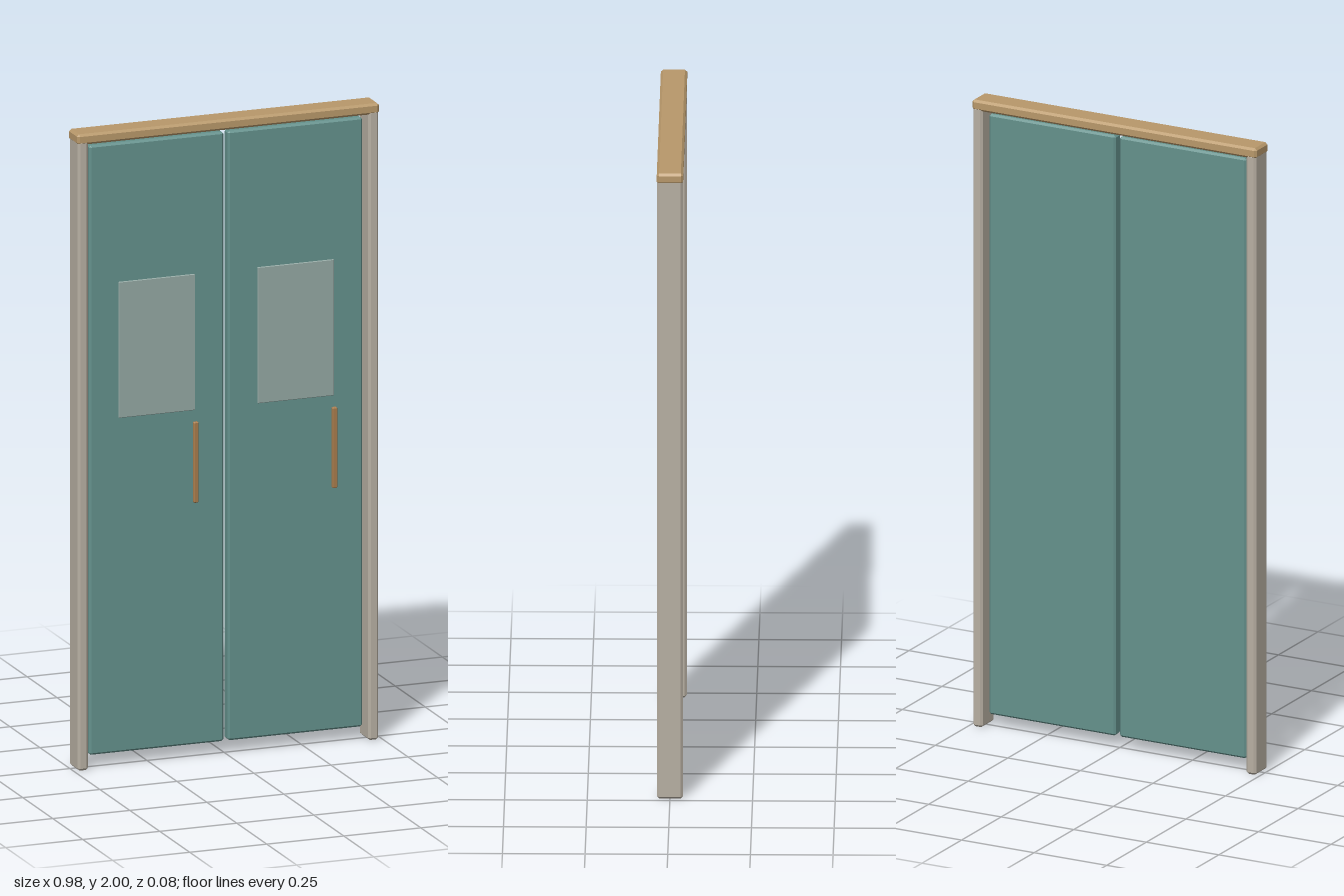
import * as THREE from 'three';
import { ConvexGeometry } from 'three/addons/geometries/ConvexGeometry.js';

const material = (name, color) => {
  const m = new THREE.MeshStandardMaterial({ color });
  m.name = name;
  return m;
};

// Box with flat chamfers on every edge: three corner points per box corner
function chamferBox(w, h, d, b) {
  const points = [];
  for (const sx of [-1, 1]) for (const sy of [-1, 1]) for (const sz of [-1, 1]) {
    const [x, y, z] = [w / 2, h / 2, d / 2];
    points.push(
      new THREE.Vector3(sx * x, sy * (y - b), sz * (z - b)),
      new THREE.Vector3(sx * (x - b), sy * y, sz * (z - b)),
      new THREE.Vector3(sx * (x - b), sy * (y - b), sz * z)
    );
  }
  return new ConvexGeometry(points);
}

export function createModel() {
  const model = new THREE.Group();
  model.name = 'doubleDoor';
  const teal = material('teal door paint', 0x64918c);
  const glass = material('grey window glass', 0x94a8a3);
  const stone = material('warm grey frame', 0xb7afa2);
  const wood = material('tan header', 0xb8986a);
  const bronze = material('bronze handle', 0xa87c4c);

  const add = (parent, name, mat, size, bevel, position) => {
    const mesh = new THREE.Mesh(chamferBox(...size, bevel), mat);
    mesh.name = name;
    mesh.position.set(...position);
    parent.add(mesh);
  };

  // Frame: header resting over two posts
  add(model, 'header', wood, [0.98, 0.034, 0.08], 0.007, [0, 1.983, 0]);
  for (const [side, s] of [['left', 1], ['right', -1]]) {
    add(model, side + 'Post', stone, [0.034, 1.978, 0.078], 0.007, [s * 0.471, 0.989, 0]);

    // Door leaf with its window and pull on the front face
    const leaf = new THREE.Group();
    leaf.name = side + 'Door';
    leaf.position.x = s * 0.225;
    add(leaf, 'panel', teal, [0.436, 1.915, 0.036], 0.006, [0, 0.9975, 0]);
    add(leaf, 'window', glass, [0.248, 0.428, 0.008], 0.002, [0, 1.305, 0.017]);
    add(leaf, 'handle', bronze, [0.016, 0.254, 0.016], 0.003, [0.125, 0.928, 0.02]);
    model.add(leaf);
  }
  return model;
}
